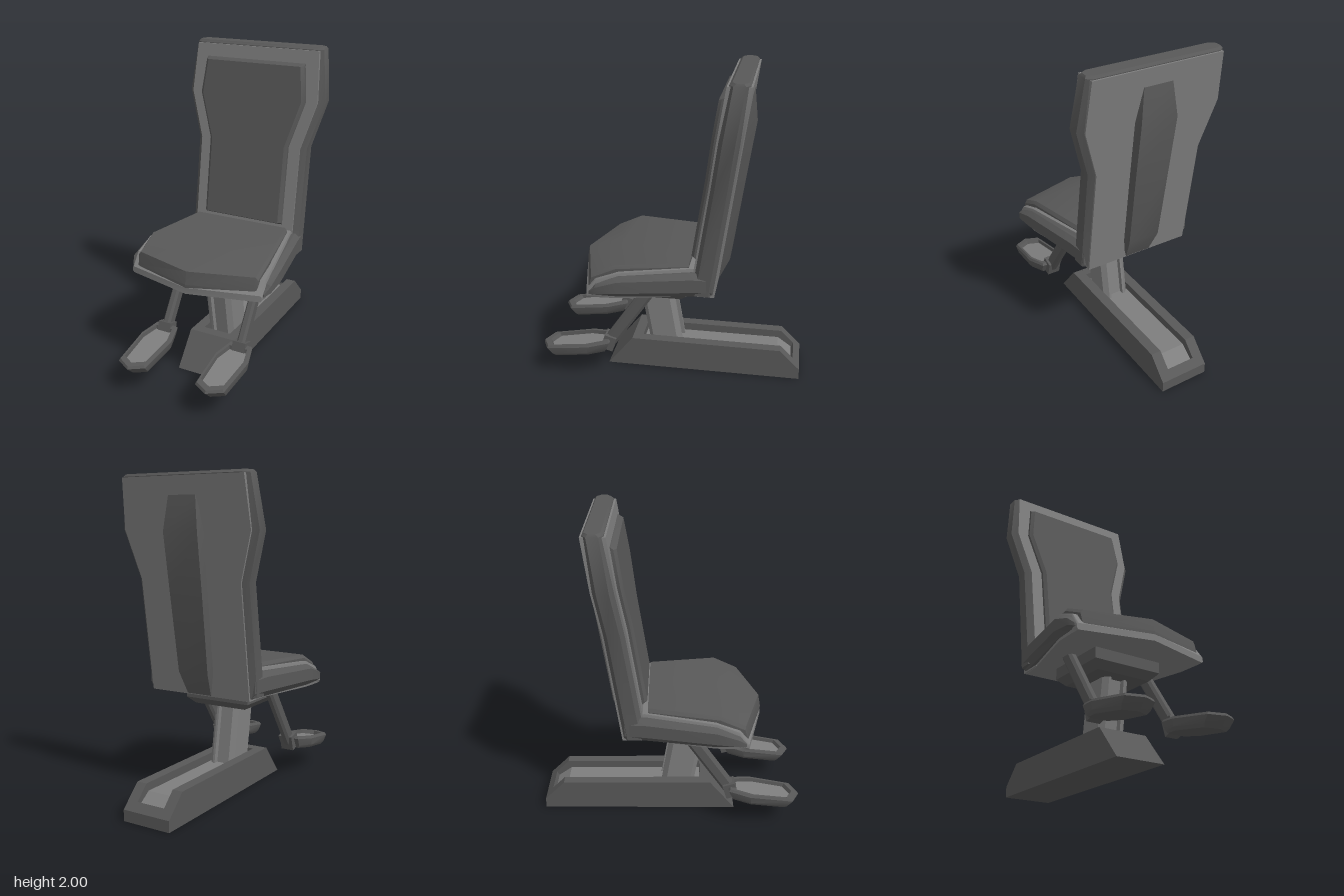
import * as THREE from 'three';
import { toCreasedNormals } from 'three/addons/utils/BufferGeometryUtils.js';

const dark = new THREE.MeshStandardMaterial({ color: 0x585858 });
const light = new THREE.MeshStandardMaterial({ color: 0x7e7e7e });

function part(name, geometry, material, parent) {
  const mesh = new THREE.Mesh(geometry, material);
  mesh.name = name;
  parent.add(mesh);
  return mesh;
}

// Completes a half ring (x >= 0) with its mirror image
const mirror = (half) => [
  ...half,
  ...half.filter((p) => p[0] > 0).reverse().map(([x, y, z]) => [-x, y, z]),
];

// Skins a list of rings; rings run counter-clockwise seen from the end of the loft
function loft(rings, capEnd = true) {
  const pos = [];
  const n = rings[0].length;
  const tri = (a, b, c) => pos.push(...a, ...b, ...c);
  for (let r = 0; r < rings.length - 1; r++) {
    for (let i = 0; i < n; i++) {
      const j = (i + 1) % n, a = rings[r], b = rings[r + 1];
      tri(a[i], a[j], b[j]);
      tri(a[i], b[j], b[i]);
    }
  }
  const cap = (ring, flip) => {
    const c = [0, 1, 2].map((k) => ring.reduce((s, p) => s + p[k], 0) / n);
    ring.forEach((p, i) => {
      const q = ring[(i + 1) % n];
      flip ? tri(c, q, p) : tri(c, p, q);
    });
  };
  cap(rings[0], true);
  if (capEnd) cap(rings[rings.length - 1], false);
  const g = new THREE.BufferGeometry();
  g.setAttribute('position', new THREE.Float32BufferAttribute(pos, 3));
  return toCreasedNormals(g, 0.55);
}

// Side profile of [z, y] points extruded across x
function sideExtrude(points, x0, x1) {
  const shape = new THREE.Shape(points.map(([z, y]) => new THREE.Vector2(z, y)));
  return new THREE.ExtrudeGeometry(shape, { depth: x1 - x0, bevelEnabled: false })
    .rotateY(-Math.PI / 2).translate(x1, 0, 0);
}

// Seat layer: stations of [z, halfWidth, bottom, top, nose], with a pointed front
function seatLayer(stations, bevel) {
  const ring = ([z, w, b, t, nose], flat) => {
    const h = t - b, mid = (t + b) / 2;
    return mirror([[0, b], [w - bevel, b], [w, b + h * 0.25], [w, t - h * 0.2], [w - bevel, t], [0, t]]
      .map(([x, y]) => [x, flat ? mid : y, z + nose * (1 - x / w)]));
  };
  const rings = stations.map((s) => ring(s, false));
  rings.push(ring(stations[stations.length - 1], true));
  return loft(rings, false);
}

const frontZ = (y) => -0.17 - 0.155 * (y - 0.83);
const rearZ = (y) => -0.30 - 0.145 * (y - 0.66);

function addBackrest(group) {
  // Pale core panel, rows of [y, halfWidth]
  const core = [[0.66, 0.355], [1.37, 0.355], [1.67, 0.445], [1.98, 0.425]];
  part('backrestCore', loft(core.map(([y, w]) =>
    mirror([[w, y, frontZ(y)], [w, y, rearZ(y)]]))), light, group);

  // Dark band around the edge, rows of [y, halfWidth, inset]
  const band = [[0.68, 0.39, 0.012], [1.37, 0.39, 0.012], [1.67, 0.48, 0.012], [1.985, 0.445, 0.012], [2.0, 0.435, 0.025]];
  part('backrestBand', loft(band.map(([y, w, d]) => {
    const f = frontZ(y) - d, r = rearZ(y) + d;
    return mirror([[w - 0.035, y, f], [w, y, f - 0.025], [w, y, r + 0.025], [w - 0.035, y, r]]);
  })), dark, group);

  // Padded front panel, rows of [y, halfWidth, protrusion]
  const pad = [[0.875, 0.28, 0.005], [0.89, 0.28, 0.035], [1.38, 0.28, 0.035],
    [1.67, 0.37, 0.035], [1.885, 0.345, 0.035], [1.9, 0.345, 0.005]];
  part('backrestCushion', loft(pad.map(([y, w, d]) => {
    const f = frontZ(y);
    return mirror([[w - 0.02, y, f + d], [w, y, f + d * 0.5], [w, y, f - 0.02]]);
  })), dark, group);

  // Raised spine on the rear, rows of [y, halfWidth, rear z]
  const spine = [[0.665, 0.1, -0.303], [0.81, 0.12, -0.37], [1.3, 0.13, -0.442],
    [1.66, 0.135, -0.497], [1.87, 0.11, -0.477]];
  part('backrestSpine', loft(spine.map(([y, w, z]) =>
    mirror([[w, y, rearZ(y) + 0.03], [w - 0.015, y, z]]))), dark, group);
}

function addSeat(group) {
  part('seatCore', seatLayer([
    [-0.295, 0.35, 0.658, 0.82, 0],
    [-0.16, 0.357, 0.658, 0.845, 0],
    [0.28, 0.45, 0.655, 0.825, 0],
    [0.42, 0.452, 0.652, 0.77, 0.05],
    [0.48, 0.45, 0.65, 0.69, 0.11],
  ], 0.008), light, group);
  part('seatBand', seatLayer([
    [-0.285, 0.385, 0.67, 0.815, 0],
    [-0.16, 0.405, 0.67, 0.825, 0],
    [0.28, 0.48, 0.67, 0.808, 0],
    [0.42, 0.48, 0.67, 0.75, 0],
    [0.465, 0.457, 0.67, 0.70, 0],
  ], 0.032), dark, group);
  part('seatCushion', seatLayer([
    [-0.14, 0.335, 0.76, 0.87, 0],
    [0.30, 0.42, 0.76, 0.862, 0.03],
    [0.455, 0.415, 0.69, 0.79, 0.12],
    [0.475, 0.41, 0.67, 0.71, 0.115],
  ], 0.015), dark, group);
}

function addPedestal(group) {
  // Chamfered block under the seat, rows of [y, halfWidth, halfDepth]
  part('seatMount', loft([[0.54, 0.185, 0.175], [0.585, 0.23, 0.22], [0.67, 0.23, 0.22]]
    .map(([y, w, d]) => mirror([[w, y, 0.11 + d], [w, y, 0.11 - d]]))), dark, group);

  // Leaning post with a channel in front and behind
  part('post', loft([[0.14, 0.045], [0.56, 0.114]].map(([y, c]) => mirror([
    [0.045, y, c + 0.075], [0.045, y, c + 0.11], [0.06, y, c + 0.11], [0.09, y, c + 0.08],
    [0.09, y, c - 0.08], [0.06, y, c - 0.11], [0.045, y, c - 0.11], [0.045, y, c - 0.075],
  ]))), light, group);

  // Floor beam: two side rails around a sunken track with a pale floor
  const rail = [[0.43, 0], [0.265, 0.203], [-0.72, 0.2], [-0.85, 0.07], [-0.85, 0]];
  const bed = [[0.43, 0], [0.265, 0.203], [0.2, 0.203], [0.2, 0.13], [-0.7, 0.13],
    [-0.785, 0.065], [-0.805, 0.115], [-0.85, 0.07], [-0.85, 0]];
  const floor = [[0.2, 0.12], [0.2, 0.15], [-0.7, 0.15], [-0.79, 0.085], [-0.785, 0.06], [-0.7, 0.12]];
  part('baseRailLeft', sideExtrude(rail, 0.095, 0.162), dark, group);
  part('baseRailRight', sideExtrude(rail, -0.162, -0.095), dark, group);
  part('baseBed', sideExtrude(bed, -0.095, 0.095), dark, group);
  part('trackFloor', sideExtrude(floor, -0.095, 0.095), light, group);
}

function addFootrest(group, side) {
  const rest = new THREE.Group();
  rest.name = side > 0 ? 'footrestLeft' : 'footrestRight';
  rest.position.x = 0.27 * side;
  group.add(rest);

  // Arm from the seat down to the pedal
  const top = new THREE.Vector3(0, 0.68, 0.09), foot = new THREE.Vector3(0, 0.24, 0.39);
  const lean = Math.atan2(foot.z - top.z, foot.y - top.y) - Math.PI;
  const length = top.distanceTo(foot);
  const arm = part('footrestArm', loft([-length / 2, length / 2].map((y) => mirror([
    [0.014, y, 0.042], [0.027, y, 0.025], [0.027, y, -0.025], [0.014, y, -0.042],
  ]))), dark, rest);
  arm.position.copy(top).add(foot).multiplyScalar(0.5);
  arm.rotation.x = lean;
  const joint = part('footrestJoint', new THREE.BoxGeometry(0.088, 0.1, 0.08), dark, rest);
  joint.position.set(0, 0.242, 0.39);
  joint.rotation.x = lean + 0.3;

  // Tray-shaped pedal, levels of [y, scaleX, scaleZ] rising to the rim then sinking inside
  const outline = mirror([[0, 0, 0.25], [0.095, 0, 0.2], [0.113, 0, -0.08], [0.075, 0, -0.22]]);
  const tray = (levels) => loft(levels.map(([y, sx, sz]) => outline.map(([x, , z]) => [x * sx, y, z * sz])));
  const pedal = new THREE.Group();
  pedal.name = 'pedal';
  pedal.position.set(0, 0.243, 0.597);
  pedal.rotation.x = 0.155;
  rest.add(pedal);
  part('pedalTray', tray([[-0.08, 0.82, 0.8], [-0.06, 0.96, 0.86], [-0.015, 1, 1],
    [0, 0.92, 0.96], [0, 0.8, 0.8], [-0.035, 0.76, 0.75]]), dark, pedal);
  part('pedalFloor', tray([[-0.05, 0.78, 0.77], [-0.025, 0.78, 0.77]]), light, pedal);
}

export function createModel() {
  const group = new THREE.Group();
  group.name = 'pilotSeat';
  addBackrest(group);
  addSeat(group);
  addPedestal(group);
  for (const side of [1, -1]) addFootrest(group, side);
  return group;
}
